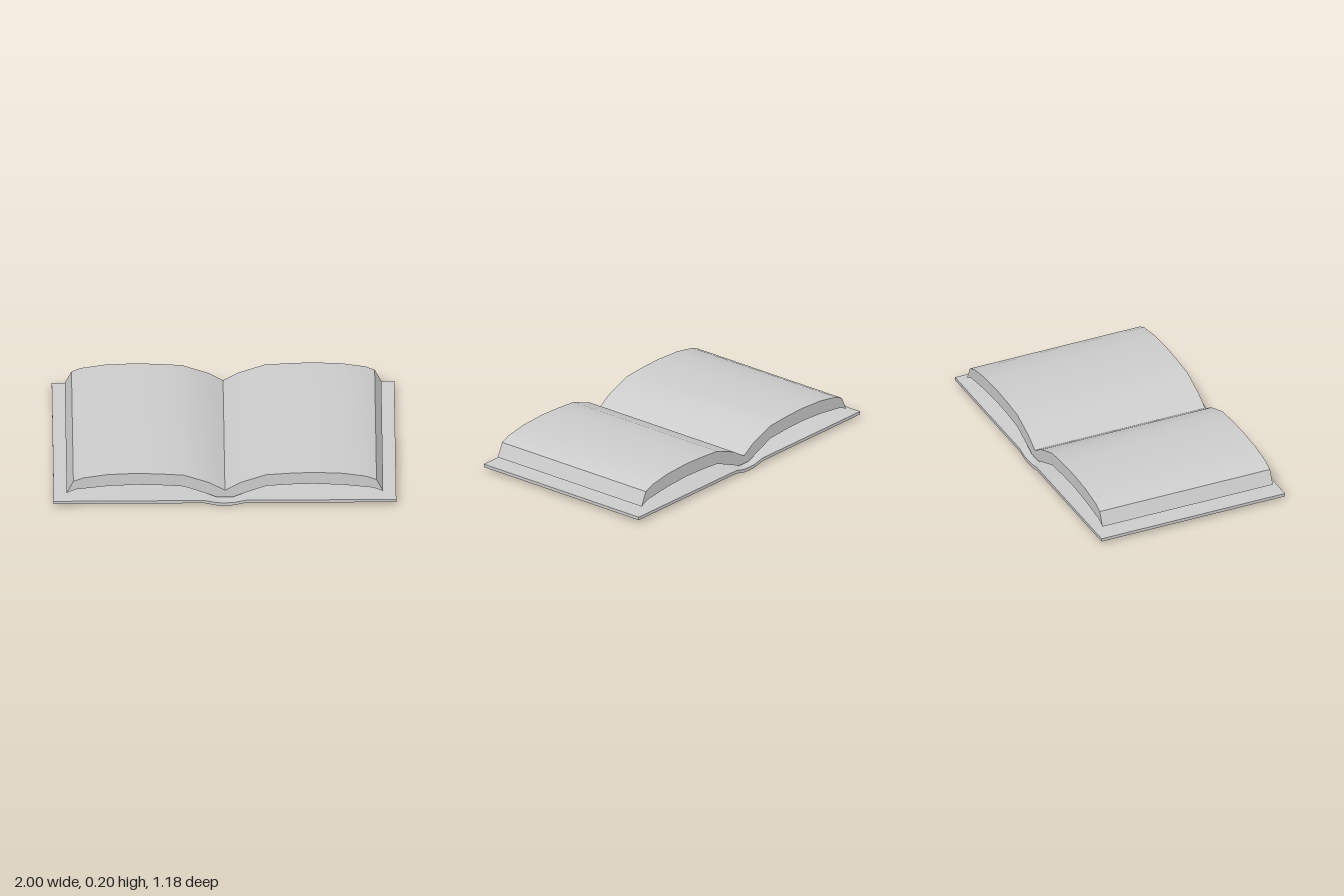
import * as THREE from 'three';
import { toCreasedNormals } from 'three/addons/utils/BufferGeometryUtils.js';

const material = new THREE.MeshStandardMaterial({ color: 0xcccccc });

// Extrudes a profile, given as its +x half (top from the middle outwards,
// then bottom back to the middle) and mirrored, centred along z.
function mirroredSlab(name, half, depth) {
  const mirrored = half.map(([x, y]) => [-x, y]).reverse().filter(([x]) => x !== 0);
  const shape = new THREE.Shape([...half, ...mirrored].map(([x, y]) => new THREE.Vector2(x, y)));
  const geometry = new THREE.ExtrudeGeometry(shape, { depth, bevelEnabled: false, steps: 1 });
  geometry.translate(0, 0, -depth / 2);
  const mesh = new THREE.Mesh(toCreasedNormals(geometry, 0.6), material);
  mesh.name = name;
  return mesh;
}

export function createModel() {
  const book = new THREE.Group();
  book.name = 'openBook';

  // Flat cover boards joined by a shallow sunken spine
  book.add(mirroredSlab('cover', [
    [0, 0.02], [0.05, 0.022], [0.085, 0.03], [0.12, 0.038], [1, 0.038],
    [1, 0.019], [0.12, 0.019], [0.085, 0.011], [0.05, 0.003], [0, 0],
  ], 1.185));

  // Two arched page blocks meeting in the gutter, with slanted fore-edges
  book.add(mirroredSlab('pages', [
    [0, 0.08], [0.09, 0.135], [0.24, 0.19], [0.38, 0.2], [0.52, 0.205],
    [0.69, 0.197], [0.83, 0.174], [0.885, 0.15],
    [0.924, 0.068], [0.87, 0.093], [0.69, 0.115], [0.52, 0.124], [0.38, 0.12],
    [0.24, 0.11], [0.1, 0.055], [0.045, 0.031], [0, 0.03],
  ], 1.1));

  return book;
}
